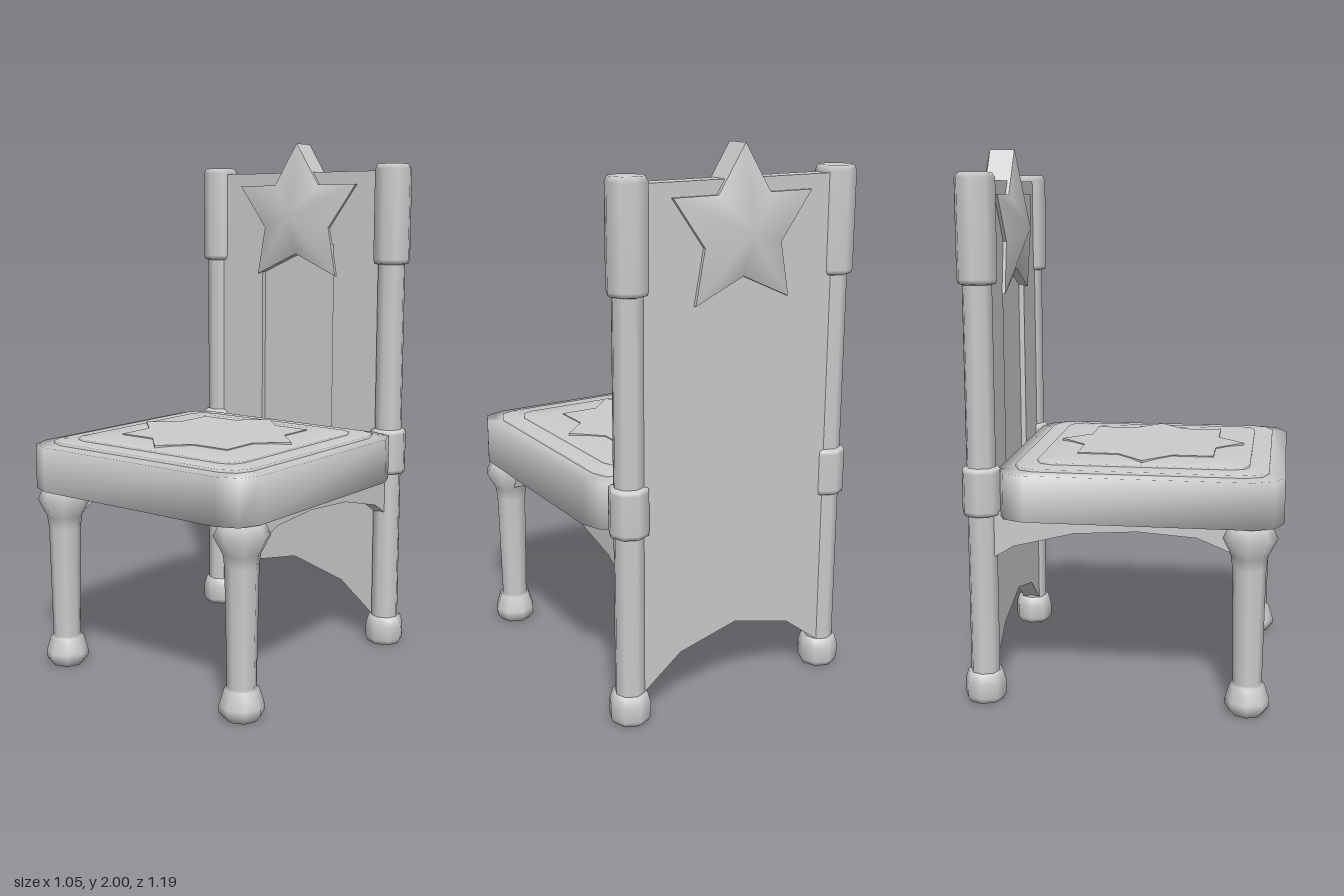
import * as THREE from 'three';

const mat = new THREE.MeshStandardMaterial({ color: 0xcccccc, side: THREE.DoubleSide });
const V = (x, y) => new THREE.Vector2(x, y);

function add(parent, name, geo, x = 0, y = 0, z = 0) {
  const m = new THREE.Mesh(geo, mat);
  m.name = name;
  m.position.set(x, y, z);
  parent.add(m);
  return m;
}

// eight-sided turned piece from [radius, height] pairs
const turned = (pairs) => new THREE.LatheGeometry(pairs.map(([r, y]) => V(r, y)), 8);

const extrude = (pts, depth, hole) => {
  const s = new THREE.Shape(pts.map(([x, y]) => V(x, y)));
  if (hole) s.holes.push(new THREE.Path(hole.map(([x, y]) => V(x, y))));
  return new THREE.ExtrudeGeometry(s, { depth, bevelEnabled: false });
};

// rounded square outline in plan, two facets per corner
function outline(half, radius) {
  const pts = [];
  [[1, 1], [-1, 1], [-1, -1], [1, -1]].forEach(([sx, sz], q) => {
    for (let k = 0; k < 3; k++) {
      const a = (q + k / 2) * Math.PI / 2;
      pts.push([sx * (half - radius) + radius * Math.cos(a), sz * (half - radius) + radius * Math.sin(a)]);
    }
  });
  return pts;
}

// smooth skin over stacked rings [half, cornerRadius, y], closed on top and optionally below
function cushion(rings, bottom) {
  const pos = [], idx = [], n = 12;
  rings.forEach(([h, r, y]) => outline(h, r).forEach(([x, z]) => pos.push(x, y, z)));
  const last = rings.length - 1, c = rings.length * n;
  pos.push(0, rings[last][2], 0, 0, rings[0][2], 0);
  for (let j = 0; j < n; j++) {
    const k = (j + 1) % n;
    for (let i = 0; i < last; i++) {
      const a = i * n + j, b = i * n + k;
      idx.push(a, a + n, b, b, a + n, b + n);
    }
    idx.push(c, last * n + k, last * n + j);
    if (bottom) idx.push(c + 1, j, k);
  }
  const g = new THREE.BufferGeometry();
  g.setAttribute('position', new THREE.Float32BufferAttribute(pos, 3));
  g.setIndex(idx);
  g.computeVertexNormals();
  return g;
}

// five-pointed star: a raised peak on each face and a straight rim
function crestStar(parent) {
  const half = [[0, 0.29], [0.105, 0.125], [0.28, 0.125], [0.155, -0.045], [0.19, -0.235], [0, -0.15]];
  const pts = [...half, ...half.slice(1, 5).reverse().map(([x, y]) => [-x, y])];
  const star = new THREE.Group();
  star.name = 'crestStar';
  star.position.set(0, 1.71, -0.49);
  parent.add(star);
  for (const s of [1, -1]) {
    const pos = [0, 0, s * 0.105], idx = [];
    pts.forEach(([x, y], i) => {
      pos.push(x, y, s * 0.048);
      const a = i + 1, b = (i + 1) % 10 + 1;
      idx.push(0, ...(s > 0 ? [b, a] : [a, b]));
    });
    const g = new THREE.BufferGeometry();
    g.setAttribute('position', new THREE.Float32BufferAttribute(pos, 3));
    g.setIndex(idx);
    g.computeVertexNormals();
    add(star, s > 0 ? 'starFront' : 'starBack', g);
  }
  add(star, 'starRim', extrude(pts, 0.094), 0, 0, -0.047);
}

export function createModel() {
  const chair = new THREE.Group();
  chair.name = 'chair';

  // seat slab with two stepped cushion layers
  const seat = new THREE.Group();
  seat.name = 'seat';
  seat.position.z = 0.083;
  chair.add(seat);
  add(seat, 'seatSlab', cushion([[0.44, 0.09, 0.7], [0.512, 0.11, 0.7], [0.512, 0.11, 0.868], [0.45, 0.08, 0.87]], true));
  add(seat, 'lowerCushion', cushion([[0.455, 0.08, 0.865], [0.455, 0.08, 0.88], [0.38, 0.06, 0.882]]));
  add(seat, 'upperCushion', cushion([[0.385, 0.06, 0.878], [0.385, 0.06, 0.888], [0.3, 0.06, 0.896]]));

  // eight-pointed star on the cushion
  const starPts = [];
  for (let q = 0; q < 4; q++) {
    const c = Math.round(Math.cos(q * Math.PI / 2)), s = Math.round(Math.sin(q * Math.PI / 2));
    for (const [x, y] of [[0.25, -0.1], [0.352, 0], [0.25, 0.1], [0.25, 0.25]]) {
      starPts.push([x * c - y * s, x * s + y * c]);
    }
  }
  add(seat, 'cushionStar', extrude(starPts, 0.012).rotateX(-Math.PI / 2), 0, 0.888, 0);

  // legs, posts and side aprons, mirrored
  const legGeo = turned([[0, 0], [0.06, 0], [0.08, 0.025], [0.08, 0.05], [0.062, 0.11], [0.052, 0.115],
    [0.06, 0.54], [0.066, 0.585], [0.1, 0.65], [0.075, 0.7], [0, 0.7]]);
  const postGeo = turned([[0.054, 0.05], [0.054, 1.6]]);
  const footGeo = turned([[0, 0], [0.065, 0], [0.076, 0.02], [0.076, 0.075], [0.065, 0.11], [0.05, 0.11]]);
  const collarGeo = turned([[0.05, 0.7], [0.07, 0.705], [0.072, 0.72], [0.072, 0.86], [0.07, 0.873], [0.05, 0.88]]);
  const capGeo = turned([[0.05, 1.525], [0.068, 1.53], [0.073, 1.545], [0.073, 1.89], [0.062, 1.91], [0, 1.91]]);
  const apronGeo = extrude([[0.45, 0.72], [0.45, 0.585], [0.4, 0.6], [0.29, 0.645], [0.08, 0.66],
    [-0.15, 0.645], [-0.37, 0.59], [-0.46, 0.535], [-0.46, 0.72]], 0.05).rotateY(-Math.PI / 2);
  for (const s of [1, -1]) {
    const side = s > 0 ? 'left' : 'right';
    add(chair, side + 'FrontLeg', legGeo, s * 0.425, 0, 0.475);
    const post = new THREE.Group();
    post.name = side + 'BackPost';
    post.position.set(s * 0.423, 0, -0.487);
    chair.add(post);
    add(post, 'postShaft', postGeo);
    add(post, 'postFoot', footGeo);
    add(post, 'postCollar', collarGeo);
    add(post, 'postCap', capGeo);
    add(chair, side + 'Apron', apronGeo, s * 0.415 + 0.025, 0, 0);
  }

  // back panel with arched lower edge and a recessed centre strip
  const panel = [[-0.385, 1.885], [-0.385, 0.11], [-0.235, 0.225], [0, 0.285], [0.235, 0.225], [0.385, 0.11], [0.385, 1.885]];
  const strip = [[-0.175, 0.75], [-0.175, 1.6], [0.175, 1.6], [0.175, 0.75]];
  add(chair, 'backPanel', extrude(panel, 0.05), 0, 0, -0.525);
  add(chair, 'backPanelFrame', extrude(panel, 0.02, strip), 0, 0, -0.475);

  crestStar(chair);
  return chair;
}
